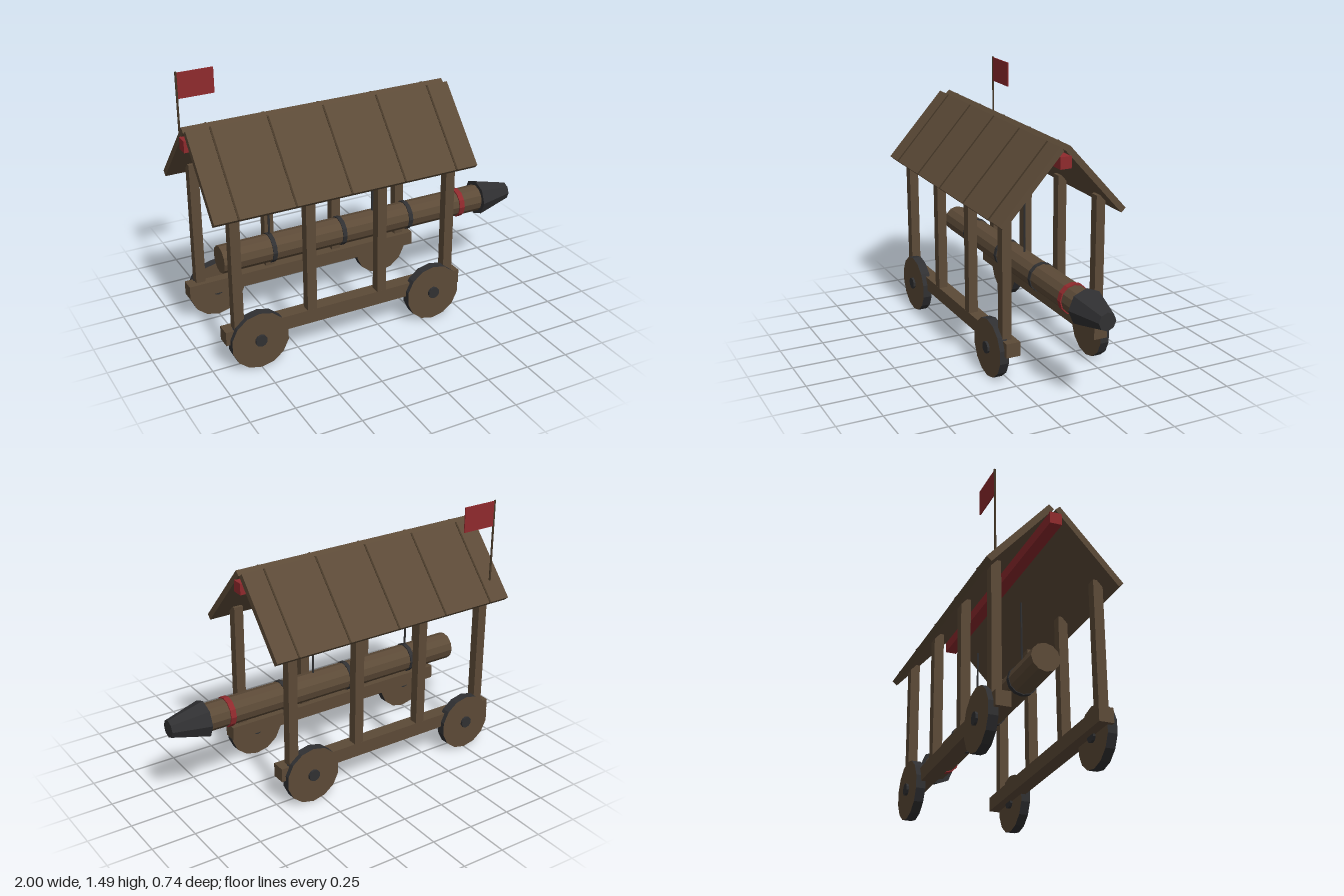
import * as THREE from 'three';

const mat = (name, color) => {
  const m = new THREE.MeshStandardMaterial({ color });
  m.name = name;
  m.flatShading = true;
  return m;
};

export function createModel() {
  const wood = mat('wood', 0x5c4a37);
  const darkWood = mat('darkWood', 0x463828);
  const iron = mat('iron', 0x303032);
  const red = mat('red', 0x8f2a2d);

  const root = new THREE.Group();
  root.name = 'batteringRam';

  const add = (parent, name, geometry, material, x, y, z) => {
    const mesh = new THREE.Mesh(geometry, material);
    mesh.name = name;
    mesh.position.set(x, y, z);
    parent.add(mesh);
    return mesh;
  };
  const box = (w, h, d) => new THREE.BoxGeometry(w, h, d);
  // Cylinder lying along x, first radius at the +x end, a corner on top
  const rod = (rPlus, rMinus, length, sides) =>
    new THREE.CylinderGeometry(rPlus, rMinus, length, sides)
      .rotateY(Math.PI / 2).rotateZ(-Math.PI / 2);

  // One long side of the shed, centred on its own middle
  const buildSide = (name) => {
    const side = new THREE.Group();
    side.name = name;
    add(side, 'baseBeam', box(1.43, 0.08, 0.08), wood, 0, 0.21, 0.265);
    for (let i = 0; i < 4; i++) {
      add(side, 'post', box(0.055, 0.73, 0.053), wood, (i - 1.5) * 0.425, 0.61, 0.278);
    }

    // Wheels: wooden discs with iron rims and hubs
    for (const x of [-0.531, 0.531]) {
      const disc = new THREE.CylinderGeometry(0.165, 0.165, 0.052, 14).rotateX(Math.PI / 2);
      add(side, 'wheel', disc, [iron, wood, wood], x, 0.165, 0.306);
      const hub = new THREE.CylinderGeometry(0.034, 0.034, 0.08, 10).rotateX(Math.PI / 2);
      add(side, 'hub', hub, iron, x, 0.168, 0.305);
    }

    // Sloping roof with thin battens over the plank joints
    const roof = new THREE.Group();
    roof.name = 'roofSlope';
    roof.position.set(0, 1.097, 0.186);
    roof.rotation.x = 0.837;
    add(roof, 'roofPanel', box(1.535, 0.035, 0.505), wood, 0, 0, 0);
    for (let i = -2; i <= 2; i++) {
      add(roof, 'batten', box(0.01, 0.006, 0.505), darkWood, i * 0.318, 0.0175, 0);
    }
    side.add(roof);
    side.position.x = -0.22;
    root.add(side);
    return side;
  };
  buildSide('frontSide');
  buildSide('backSide').rotation.y = Math.PI;

  add(root, 'ridgeBeam', box(1.56, 0.065, 0.065), red, -0.22, 1.213, 0);

  // Hanging ram
  const ram = new THREE.Group();
  ram.name = 'ram';
  ram.position.y = 0.513;
  root.add(ram);
  add(ram, 'log', rod(0.078, 0.078, 1.625, 12), wood, -0.0225, 0, 0);
  add(ram, 'head', rod(0.05, 0.105, 0.21, 8), iron, 0.895, 0, 0);
  for (const x of [-0.54, -0.115, 0.308]) {
    add(ram, 'ironBand', rod(0.083, 0.083, 0.025, 12), iron, x, 0, 0);
  }
  add(ram, 'redBand', rod(0.085, 0.085, 0.032, 12), red, 0.652, 0, 0);
  for (const x of [-0.54, 0.097]) {
    add(ram, 'hanger', new THREE.CylinderGeometry(0.006, 0.006, 0.4, 6), iron, x, 0.252, 0);
  }

  // Flag on the back slope
  add(root, 'flagPole', new THREE.CylinderGeometry(0.006, 0.006, 0.475, 6), darkWood, -0.908, 1.2565, -0.292);
  add(root, 'flag', box(0.208, 0.145, 0.006), red, -0.804, 1.417, -0.292);

  return root;
}
